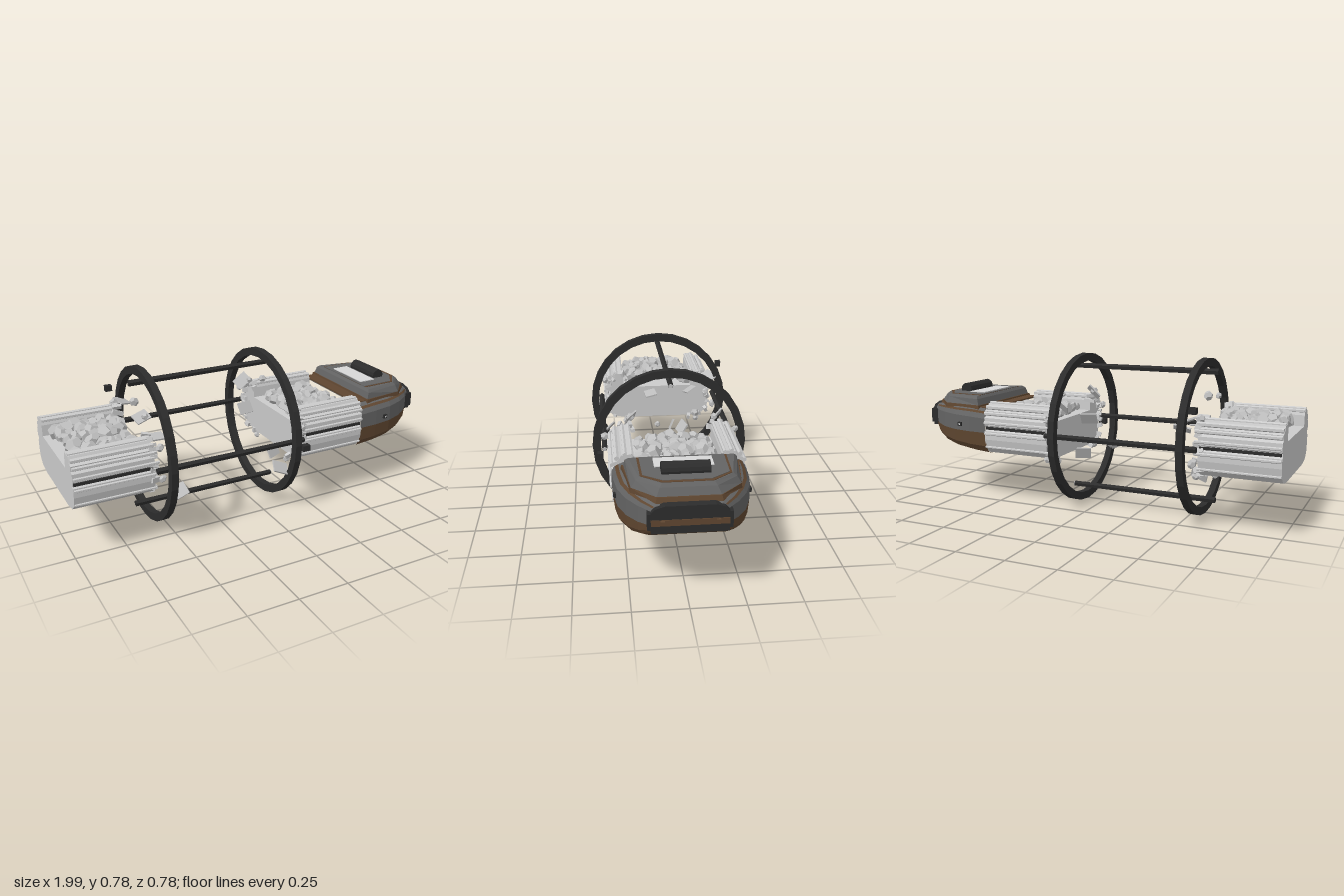
import * as THREE from 'three';

const mat = (name, color) => Object.assign(new THREE.MeshStandardMaterial({ color }), { name });

export function createModel() {
  const root = new THREE.Group();
  root.name = 'salvageBarge';
  const M = {
    dark: mat('charcoal', 0x2c2c2c), brown: mat('brown', 0x5f4630), grey: mat('grey', 0x636363),
    light: mat('lightHull', 0xcacaca), rock: mat('rubble', 0xbfbfbf), panel: mat('palePanel', 0xd6d6d6),
  };

  let seed = 7;
  const rnd = (a = 0, b = 1) => {
    seed = (seed * 16807) % 2147483647;
    return a + (b - a) * seed / 2147483647;
  };

  const add = (name, geo, m, x = 0, y = 0, z = 0, parent = root) => {
    const flat = geo.index ? geo.toNonIndexed() : geo;
    flat.computeVertexNormals();
    const mesh = new THREE.Mesh(flat, m);
    mesh.name = name;
    mesh.position.set(x, y, z);
    parent.add(mesh);
    return mesh;
  };
  const box = (name, m, w, h, d, x, y, z, parent) => add(name, new THREE.BoxGeometry(w, h, d), m, x, y, z, parent);

  // Skin through closed loops; keep(j) picks which strips to build
  const skin = (rows, keep = () => true, caps = false) => {
    const v = [], n = rows[0].length, tri = (...p) => p.forEach(q => v.push(...q));
    for (let s = 0; s + 1 < rows.length; s++) {
      for (let j = 0; j < n; j++) {
        if (!keep(j)) continue;
        const k = (j + 1) % n, a = rows[s][j], b = rows[s + 1][j], c = rows[s + 1][k], d = rows[s][k];
        tri(a, b, c);
        tri(a, c, d);
      }
    }
    if (caps) {
      const first = rows[0], last = rows[rows.length - 1];
      for (let j = 1; j + 1 < n; j++) {
        tri(first[0], first[j], first[j + 1]);
        tri(last[0], last[j + 1], last[j]);
      }
    }
    const g = new THREE.BufferGeometry();
    g.setAttribute('position', new THREE.Float32BufferAttribute(v, 3));
    return g;
  };

  // Bar lying along x, with a corner pointing up
  const bar = (name, m, r0, r1, x0, x1, y, z, sides = 5, parent) => {
    const g = new THREE.CylinderGeometry(r0, r1, x1 - x0, sides).rotateY(Math.PI / 2).rotateZ(Math.PI / 2);
    return add(name, g, m, (x0 + x1) / 2, y, z, parent);
  };

  // Irregular lump of stone
  const rock = (name, r, x, y, z, parent, stretch = 1) => {
    const mesh = add(name, new THREE.DodecahedronGeometry(r), M.rock, x, y, z, parent);
    mesh.scale.set(rnd(0.8, 1.2) * stretch, rnd(0.7, 1), rnd(0.8, 1.2));
    mesh.rotation.set(rnd(0, 6), rnd(0, 6), rnd(0, 6));
  };

  // Two frame rings
  for (const x of [-0.545, 0.115]) {
    const t = 0.017, prof = [[0.352, -t], [0.392, -t], [0.392, t], [0.352, t], [0.352, -t]];
    const g = new THREE.LatheGeometry(prof.map(p => new THREE.Vector2(...p)), 28).rotateZ(Math.PI / 2);
    add('frameRing', g, M.dark, x, 0.393, 0);
  }

  // Four connecting rods with pale broken ends
  for (const [y, z] of [[0.718, 0], [0.072, 0], [0.395, 0.332], [0.395, -0.332]]) {
    bar('connectingRod', M.dark, 0.016, 0.014, -0.61, 0.178, y, z);
    bar('rodEnd', M.rock, 0.0115, 0.0115, 0.176, 0.182, y, z);
  }

  // Open cargo hulls
  const half = [[0.2, 0.253], [0.265, 0.266], [0.298, 0.295], [0.308, 0.34], [0.308, 0.385], [0.296, 0.392],
    [0.296, 0.408], [0.308, 0.415], [0.308, 0.455], [0.295, 0.465], [0.3, 0.49], [0.275, 0.5],
    [0.262, 0.525], [0.215, 0.528], [0.203, 0.5], [0.2, 0.445]];
  const section = new THREE.Shape([...half, ...half.map(([z, y]) => [-z, y]).reverse()].map(p => new THREE.Vector2(...p)));
  const cargoHull = (name, x0, x1, brokenX, dir, heap) => {
    const g = new THREE.Group();
    g.name = name;
    root.add(g);
    add('trough', new THREE.ExtrudeGeometry(section, { depth: x1 - x0, bevelEnabled: false })
      .rotateY(Math.PI / 2), M.light, x0, 0, 0, g);
    for (const s of [1, -1]) {
      // Long ribs on the walls
      for (const [z, y, r] of [[0.305, 0.478, 0.01], [0.312, 0.43, 0.008], [0.31, 0.372, 0.008],
        [0.283, 0.508, 0.012], [0.245, 0.525, 0.011], [0.214, 0.52, 0.01], [0.302, 0.3, 0.006]]) {
        const over = rnd(0, 0.022);
        bar('wallRib', M.light, r, r, x0 + (dir < 0 ? -over : 0.002), x1 + (dir > 0 ? over : -0.002), y, s * z, 6, g);
      }
      box('sideSlot', M.dark, x1 - x0 - 0.01, heap ? 0.014 : 0.008, 0.008, (x0 + x1) / 2, 0.4, s * 0.299, g);
    }
    // Rubble load
    for (let i = 0; i < 7; i++) {
      for (let j = 0; j < 7; j++) {
        const x = x0 + 0.04 + (x1 - x0 - 0.08) * (i + rnd(0.2, 0.8)) / 7;
        const z = -0.18 + 0.36 * (j + rnd(0.2, 0.8)) / 7;
        rock('rubble', rnd(0.024, 0.042), x, 0.455 + heap * (1 - (z / 0.2) ** 2) + rnd(0, 0.015), z, g, 1.2);
      }
    }
    // Torn rim
    for (let i = 0; i < half.length - 1; i++) {
      for (const s of [1, -1]) {
        const sh = box('tornEdge', M.light, rnd(0.02, 0.06), rnd(0.015, 0.03), rnd(0.012, 0.022),
          brokenX, half[i][1], s * (half[i][0] - 0.01), g);
        sh.rotation.set(rnd(-0.5, 0.5), rnd(-0.4, 0.4), rnd(-0.4, 0.4));
      }
    }
  };
  cargoHull('rearCargoHull', -0.995, -0.61, -0.61, 1, 0.045);
  cargoHull('frontCargoHull', 0.185, 0.55, 0.185, -1, 0.01);

  // Loose stones around both broken ends
  const loose = [[0.12, 0.585], [-0.12, 0.58], [-0.04, 0.605], [0.2, 0.555], [0.31, 0.5], [0.33, 0.46], [0.355, 0.365],
    [0.24, 0.245], [0.19, 0.24], [0.16, 0.22], [0, 0.2], [-0.17, 0.23], [-0.23, 0.245], [-0.28, 0.26],
    [-0.33, 0.33], [-0.33, 0.47], [-0.265, 0.53], [-0.22, 0.545]];
  loose.forEach(([z, y], i) => rock('looseStone', rnd(0.018, 0.024), i % 2 ? 0.165 + rnd(-0.01, 0.03) : -0.595 + rnd(-0.02, 0.03), y, z));
  box('darkScrap', M.dark, 0.04, 0.03, 0.03, 0.175, 0.36, 0.355);
  box('darkScrap', M.dark, 0.035, 0.03, 0.03, -0.6, 0.58, -0.36);

  // Drifting plates
  for (const [x, y, z, rx, ry, rz] of [[-0.49, 0.46, -0.18, 0.5, 0.3, 0.1], [-0.49, 0.245, 0.29, 0.7, 0.2, 0.4],
    [0.07, 0.245, 0.29, 0.6, -0.3, -0.3], [0.06, 0.45, -0.07, 1.0, 0.1, -0.2], [-0.5, 0.44, 0.05, 0.2, 0.1, -0.1],
    [0.13, 0.54, -0.24, 0.7, 0.4, 0.5], [-0.55, 0.52, -0.3, 0.4, 0.5, -0.5], [-0.55, 0.22, -0.08, 1.1, 0.3, 0.2],
    [0.16, 0.23, 0.06, 1.2, 0.2, -0.4], [0.16, 0.55, 0.2, 0.5, 0.6, 0.6]]) {
    box('driftingPlate', M.rock, 0.085, 0.008, 0.065, x, y, z).rotation.set(rx, ry, rz);
  }

  // Tapered nose: x, half width, bottom, waist, shoulder, top
  const stations = [[0.545, 0.308, 0.253, 0.375, 0.45, 0.492], [0.65, 0.303, 0.26, 0.375, 0.455, 0.5],
    [0.75, 0.29, 0.273, 0.377, 0.458, 0.5], [0.84, 0.257, 0.292, 0.38, 0.46, 0.498],
    [0.91, 0.212, 0.318, 0.385, 0.46, 0.492], [0.96, 0.163, 0.355, 0.392, 0.458, 0.484]];
  const noseRows = stations.map(([x, w, b, m, s, t]) => {
    const p = [[0.76, b], [0.91, b + (m - b) * 0.14], [0.98, b + (m - b) * 0.4], [1, m], [1, s],
      [0.95, s + (t - s) * 0.55], [0.9, s + (t - s) * 0.75], [0.82, t]];
    return [...p.map(([u, y]) => [x, y, u * w]), ...p.map(([u, y]) => [x, y, -u * w]).reverse()];
  });
  const tone = j => { // strips counted from the bottom on either side
    const k = j > 7 ? 14 - j : j;
    return k === 15 || k < 3 ? 'brown' : k === 5 ? 'brown' : 'grey';
  };
  add('noseLowerAndTrim', skin(noseRows, j => j === 15 || tone(j) === 'brown'), M.brown);
  add('noseBand', skin(noseRows, j => j !== 15 && tone(j) === 'grey'), M.grey);
  add('noseFront', skin([noseRows[5], noseRows[5].map(([x, y, z]) => [x + 0.004, y, z])], undefined, true), M.grey);
  box('deckStrip', M.brown, 0.065, 0.008, 0.5, 0.583, 0.496, 0);

  // Cabin with chamfered roof
  const plan = (y, x0, x1, x2, z0, z1, z2) => [[x2, y, z2], [x1, y, z1], [x0, y, z0], [x0, y, -z0], [x1, y, -z1], [x2, y, -z2]];
  add('cabinSill', skin([plan(0.485, 0.61, 0.84, 0.95, 0.27, 0.238, 0.14), plan(0.508, 0.615, 0.84, 0.94, 0.265, 0.235, 0.135)], undefined, true), M.brown);
  add('cabin', skin([plan(0.507, 0.62, 0.84, 0.935, 0.257, 0.235, 0.135), plan(0.54, 0.63, 0.835, 0.915, 0.25, 0.215, 0.12),
    plan(0.553, 0.64, 0.83, 0.9, 0.235, 0.2, 0.11)], undefined, true), M.grey);
  add('roofTrim', skin([plan(0.552, 0.645, 0.828, 0.895, 0.2, 0.195, 0.108), plan(0.555, 0.645, 0.828, 0.895, 0.2, 0.195, 0.108)], undefined, true), M.brown);
  add('roof', skin([plan(0.554, 0.645, 0.822, 0.88, 0.19, 0.185, 0.102), plan(0.557, 0.645, 0.822, 0.88, 0.19, 0.185, 0.102)], undefined, true), M.grey);
  box('roofPanel', M.panel, 0.09, 0.006, 0.26, 0.71, 0.558, 0);
  const drum = new THREE.CylinderGeometry(0.033, 0.033, 0.21, 12).rotateX(Math.PI / 2);
  add('roofDrum', drum, M.dark, 0.798, 0.568, 0);

  // Nose bumper with brown stripe and pegs
  const visor = (x, s) => [[x, 0.365, 0.162], [x, 0.46, 0.162], [x, 0.478, 0.145 * s], [x, 0.49, 0.105 * s],
    [x, 0.49, -0.105 * s], [x, 0.478, -0.145 * s], [x, 0.46, -0.162], [x, 0.365, -0.162]];
  add('noseBumper', skin([visor(0.945, 1), visor(0.985, 1)], undefined, true), M.dark);
  box('bumperStripe', M.brown, 0.006, 0.028, 0.326, 0.985, 0.415, 0);
  for (const s of [1, -1]) {
    box('bumperEnd', M.dark, 0.05, 0.075, 0.014, 0.962, 0.42, s * 0.17);
    box('bumperPeg', M.brown, 0.014, 0.012, 0.018, 0.992, 0.421, s * 0.115);
    box('sideLamp', M.dark, 0.022, 0.02, 0.018, 0.71, 0.41, s * 0.297);
    box('sideLampLens', M.panel, 0.008, 0.008, 0.004, 0.71, 0.41, s * 0.306);
  }
  return root;
}
